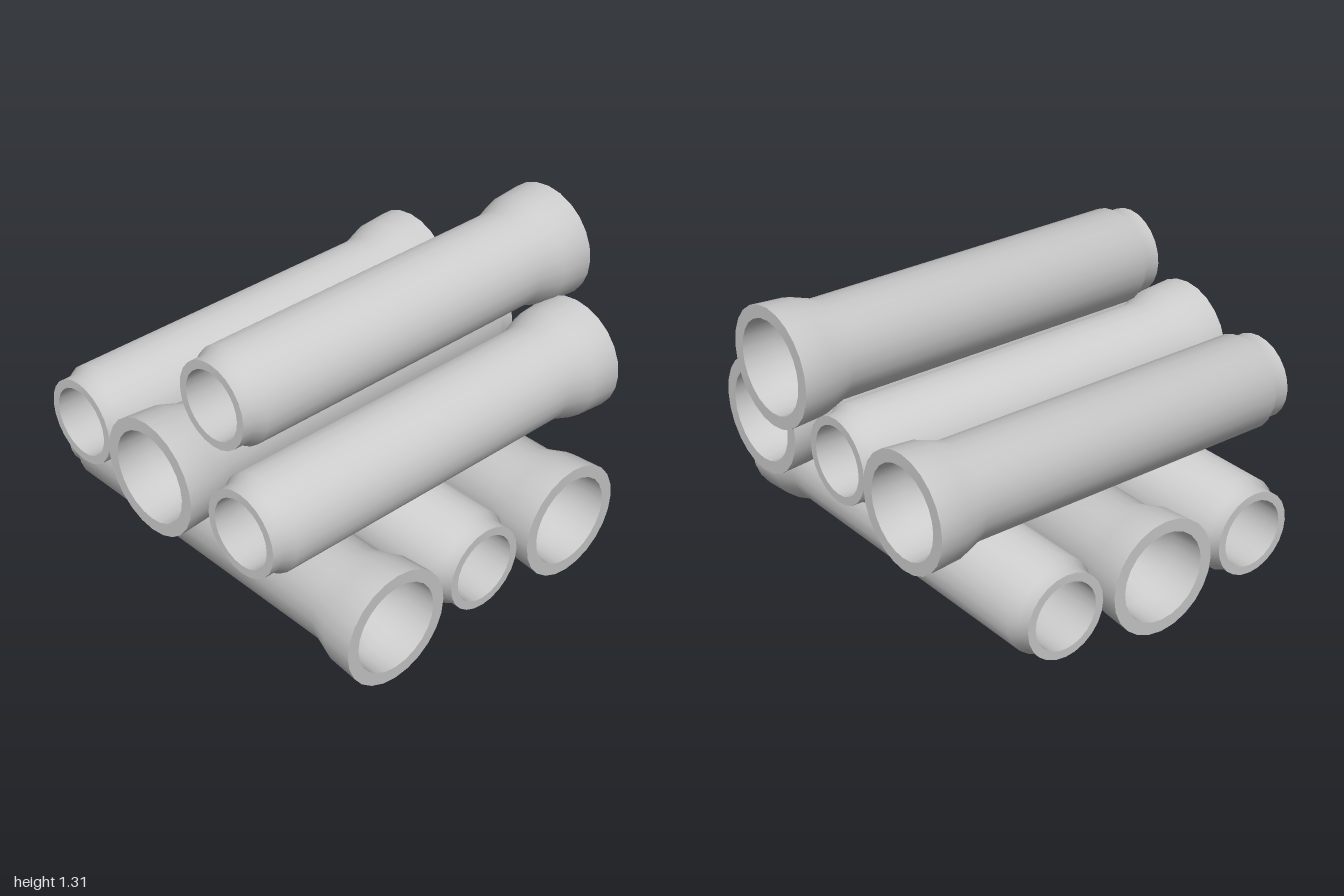
import * as THREE from 'three';
import { toCreasedNormals } from 'three/addons/utils/BufferGeometryUtils.js';

const HALF = 0.924; // half the length of one pipe

// Closed pipe wall: spigot at -y, flared bell socket at +y
function pipeGeometry() {
  const profile = [
    [0.15, -HALF], [0.187, -HALF],                // spigot end face
    [0.187, -0.865], [0.21, -0.825],              // shoulder up to the barrel
    [0.21, 0.675], [0.245, 0.78], [0.255, HALF],  // barrel and bell
    [0.2, HALF], [0.19, 0.78], [0.15, 0.675],     // socket
    [0.15, -HALF],                                // bore
  ].map(([r, y]) => new THREE.Vector2(r, y));
  return toCreasedNormals(new THREE.LatheGeometry(profile, 24), 0.6);
}

export function createModel() {
  const model = new THREE.Group();
  model.name = 'pipeStack';
  const geometry = pipeGeometry();
  const material = new THREE.MeshStandardMaterial({ color: 0xcccccc });

  // dir is the way the bell end points
  function addPipe(name, position, dir) {
    const pipe = new THREE.Mesh(geometry, material);
    pipe.name = name;
    pipe.position.set(...position);
    pipe.quaternion.setFromUnitVectors(new THREE.Vector3(0, 1, 0), new THREE.Vector3(...dir));
    model.add(pipe);
  }

  // Bottom row runs front to back, the middle pipe reversed
  addPipe('bottomPipeRight', [-0.562, 0.258, 0.011], [0, 0, 1]);
  addPipe('bottomPipeMiddle', [-0.055, 0.258, -0.011], [0, 0, -1]);
  addPipe('bottomPipeLeft', [0.425, 0.258, 0.011], [0, 0, 1]);

  // Second row lies across it, the middle pipe reversed
  addPipe('upperPipeFront', [-0.046, 0.685, 0.508], [1, 0, 0]);
  addPipe('upperPipeMiddle', [-0.076, 0.685, -0.002], [-1, 0, 0]);
  addPipe('upperPipeBack', [-0.046, 0.685, -0.482], [1, 0, 0]);

  // Single pipe resting on top
  addPipe('topPipe', [0.076, 1.06, 0.21], [1, 0, 0]);

  return model;
}
